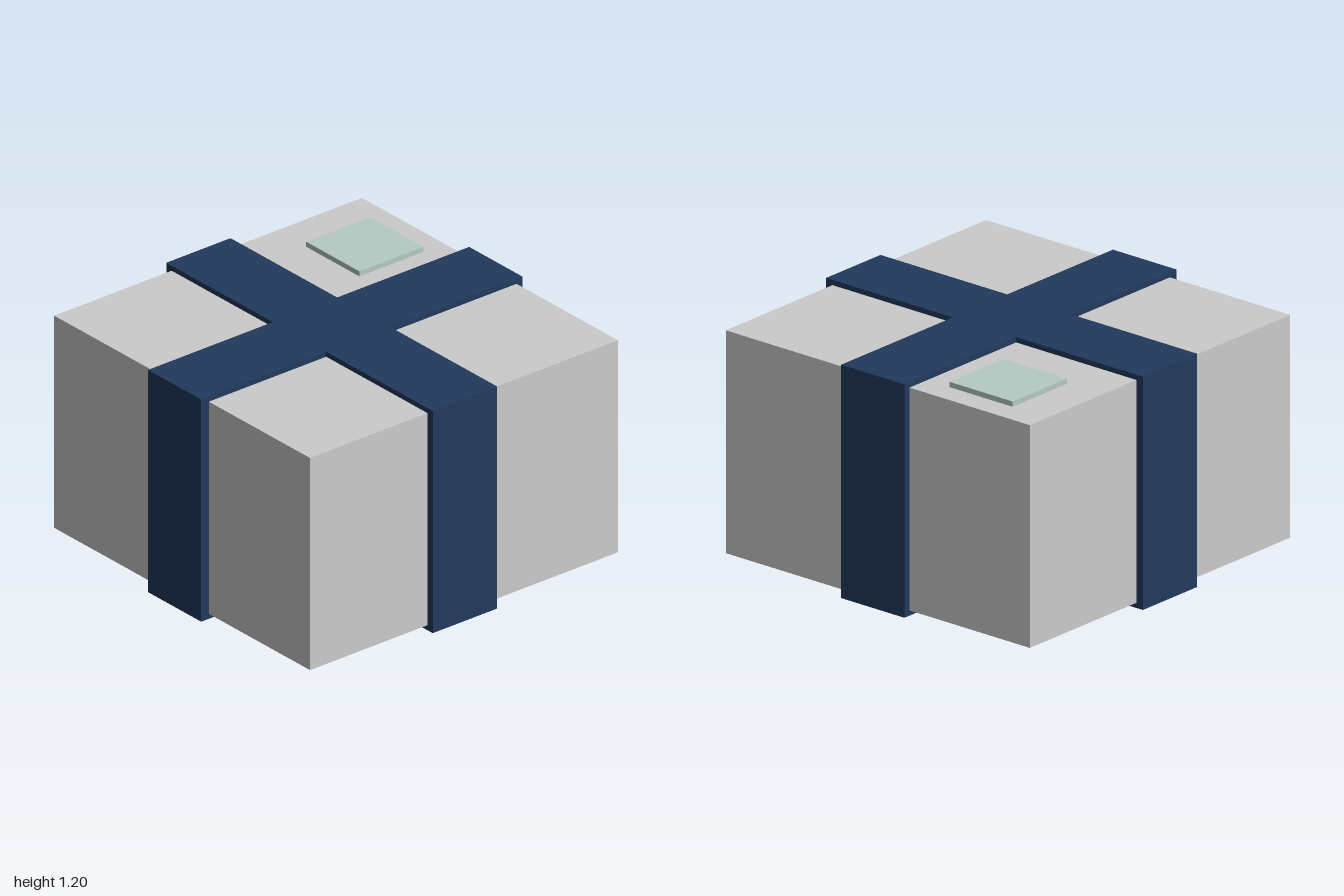
import * as THREE from 'three';

export function createModel() {
  const group = new THREE.Group();
  const paper = new THREE.MeshStandardMaterial({ color: 0xcccccc });
  const ribbon = new THREE.MeshStandardMaterial({ color: 0x22395d });
  const card = new THREE.MeshStandardMaterial({ color: 0xb5cac3 });

  const addBox = (name, material, [w, h, d], [x, y, z]) => {
    const mesh = new THREE.Mesh(new THREE.BoxGeometry(w, h, d), material);
    mesh.name = name;
    mesh.position.set(x, y, z);
    group.add(mesh);
  };

  // Wrapped parcel
  addBox('giftBox', paper, [1.916, 1.146, 1.92], [0.005, 0.6, 0]);

  // Two ribbon bands crossing on the top and underside
  addBox('ribbonFrontToBack', ribbon, [0.4, 1.2, 2], [-0.022, 0.6, 0]);
  addBox('ribbonSideToSide', ribbon, [2, 1.2, 0.4], [0, 0.6, 0]);

  // Thin gift tag lying on the back left corner of the lid
  addBox('giftTag', card, [0.4, 0.03, 0.4], [0.633, 1.185, -0.54]);

  return group;
}
